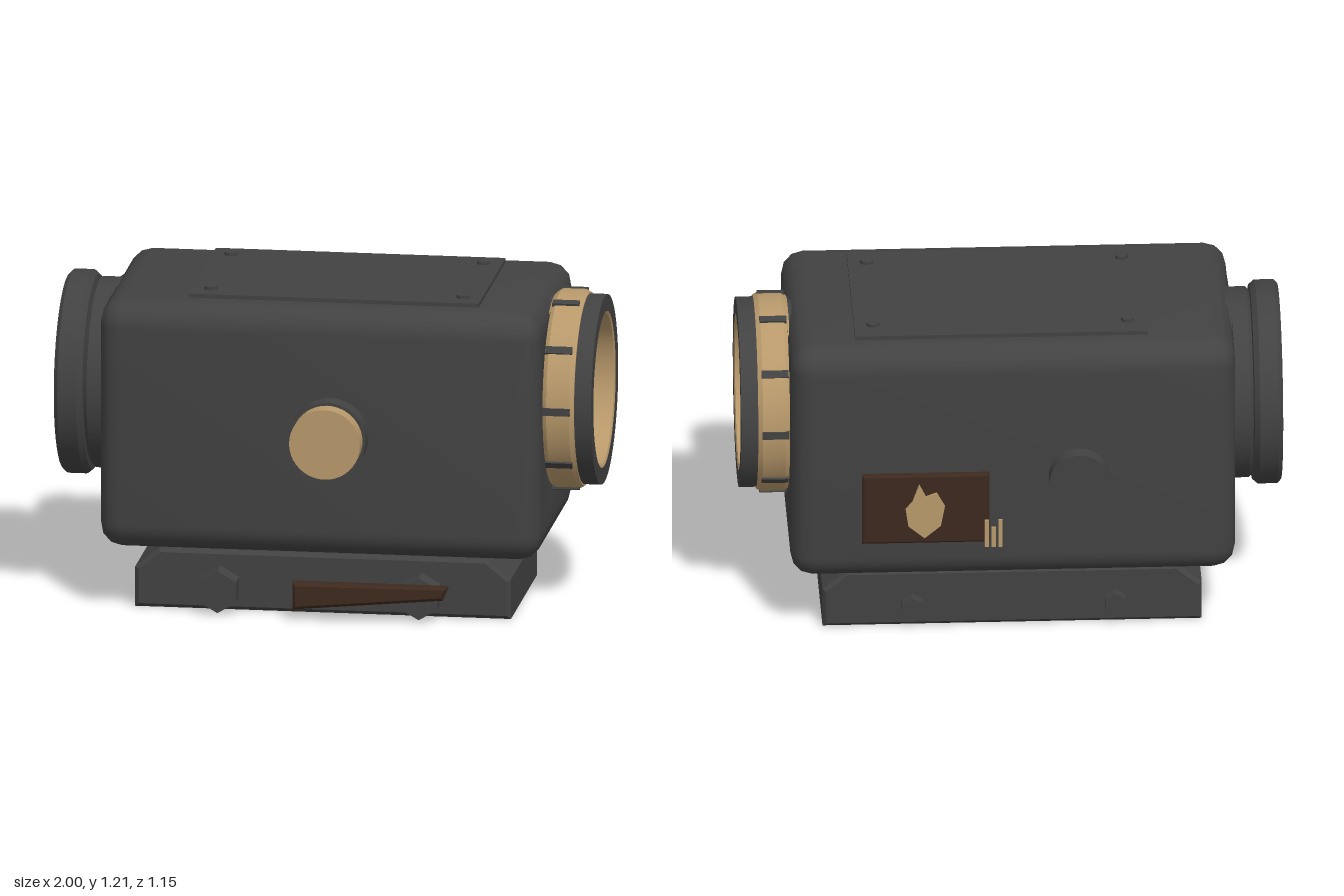
import * as THREE from 'three';
import { toCreasedNormals } from 'three/addons/utils/BufferGeometryUtils.js';

const CY = 0.8, CZ = -0.042; // optical axis

export function createModel() {
  const model = new THREE.Group();
  const material = (name, color, side = THREE.FrontSide) => {
    const m = new THREE.MeshStandardMaterial({ color, side });
    m.name = name;
    return m;
  };
  const dark = material('charcoal', 0x424242);
  const gold = material('brass', 0xb8996b);
  const brown = material('dark brown', 0x3d291e, THREE.DoubleSide);
  const orange = material('reticle orange', 0xcc5c2c);

  const add = (name, geometry, mat, x = 0, y = 0, z = 0) => {
    const mesh = new THREE.Mesh(geometry, mat);
    mesh.name = name;
    mesh.position.set(x, y, z);
    model.add(mesh);
    return mesh;
  };
  const box = (name, mat, x0, x1, y0, y1, z0, z1) =>
    add(name, new THREE.BoxGeometry(x1 - x0, y1 - y0, z1 - z0), mat, (x0 + x1) / 2, (y0 + y1) / 2, (z0 + z1) / 2);
  // Turned part along the optical axis; points are [radius, x]
  const turned = (name, points, mat) => {
    const g = new THREE.LatheGeometry(points.map(([r, x]) => new THREE.Vector2(r, x)), 48);
    g.rotateZ(-Math.PI / 2);
    return add(name, toCreasedNormals(g, 0.5), mat, 0, CY, CZ);
  };
  // Cylinder along z
  const disc = (name, mat, r, x, y, z0, z1, sides = 40) => {
    const g = new THREE.CylinderGeometry(r, r, z1 - z0, sides);
    g.rotateX(Math.PI / 2);
    return add(name, toCreasedNormals(g, 0.5), mat, x, y, (z0 + z1) / 2);
  };
  // Outline in x and y, extruded from z0 to z1 with a bevel inside the outline
  const slab = (name, mat, points, z0, z1, bevel = 0) => {
    const shape = new THREE.Shape(points.map(([x, y]) => new THREE.Vector2(x, y)));
    const g = new THREE.ExtrudeGeometry(shape, {
      depth: z1 - z0 - 2 * bevel, bevelEnabled: bevel > 0, bevelSize: bevel,
      bevelThickness: bevel, bevelOffset: -bevel, bevelSegments: 1,
    });
    return add(name, g, mat, 0, 0, z0 + bevel);
  };

  // Housing: rounded box with a bore along x
  const h = 0.47, r = 0.1, b = 0.08;
  const outline = new THREE.Shape();
  [[1, -1], [1, 1], [-1, 1], [-1, -1]].forEach(([sx, sy], i) => {
    const start = (i - 1) * Math.PI / 2;
    outline.absarc(sx * (h - r), sy * (h - r), r, start, start + Math.PI / 2, false);
  });
  outline.holes.push(new THREE.Path().absarc(0, 0, 0.27, 0, Math.PI * 2, true));
  const housing = new THREE.ExtrudeGeometry(outline, {
    depth: 1.64 - 2 * b, bevelSize: b, bevelThickness: b, bevelOffset: -b, bevelSegments: 3, curveSegments: 6,
  });
  housing.translate(0, 0, b - 0.82);
  housing.rotateY(Math.PI / 2);
  // The bore sits above the middle of the housing
  const pos = housing.attributes.position;
  for (let i = 0; i < pos.count; i++) {
    if (Math.hypot(pos.getY(i), pos.getZ(i)) < 0.37) pos.setY(i, pos.getY(i) + CY - 0.71);
  }
  add('housing', toCreasedNormals(housing, 0.6), dark, 0, 0.71, CZ);

  // Bore lining
  turned('boreLining', [[0.275, 0.86], [0.26, 0.8], [0.26, -0.8], [0.27, -0.84]], brown);

  // Objective bell on the model's right end
  turned('objectiveBell', [
    [0.27, -0.8], [0.27, -0.94], [0.31, -0.94], [0.31, -1], [0.362, -1], [0.377, -0.985], [0.377, -0.915],
    [0.36, -0.895], [0.342, -0.892], [0.353, -0.88], [0.353, -0.8], [0.27, -0.8],
  ], dark);

  // Eyepiece on the model's left end
  turned('eyepieceRim', [[0.29, 1], [0.29, 0.8], [0.352, 0.8], [0.352, 1], [0.29, 1]], dark);
  turned('focusRing', [
    [0.34, 0.8], [0.358, 0.82], [0.368, 0.835], [0.368, 0.92], [0.358, 0.937], [0.34, 0.937],
  ], gold);
  turned('eyepieceLiner', [[0.291, 1.0], [0.28, 0.995], [0.275, 0.86]], gold);
  for (let i = 0; i < 10; i++) {
    const a = i * Math.PI / 5;
    const grip = add('focusRingGrip', new THREE.BoxGeometry(0.1, 0.03, 0.028), dark,
      0.873, CY + 0.36 * Math.sin(a), CZ + 0.36 * Math.cos(a));
    grip.rotation.x = Math.PI / 2 - a;
  }

  // Reticle: chevron and three shrinking bars
  for (const s of [-1, 1]) {
    const arm = add('reticleChevron', new THREE.BoxGeometry(0.008, 0.026, 0.19), orange, 0, 0.736, CZ + s * 0.066);
    arm.rotation.x = s * 0.75;
  }
  [[0.633, 0.07], [0.594, 0.052], [0.553, 0.034]].forEach(([y, w]) =>
    box('reticleBar', orange, -0.004, 0.004, y - 0.007, y + 0.007, CZ - w / 2, CZ + w / 2));

  // Top cover with corner screws
  box('topCover', dark, -0.5, 0.58, 1.175, 1.195, -0.4, 0.3);
  for (const x of [-0.43, 0.51]) for (const z of [-0.305, 0.215]) {
    add('coverScrew', new THREE.CylinderGeometry(0.024, 0.024, 0.02, 16), dark, x, 1.197, z);
  }

  // Adjustment knobs
  disc('frontKnobBase', dark, 0.143, 0.045, 0.707, 0.4, 0.503);
  disc('frontKnobCap', gold, 0.132, 0.045, 0.707, 0.5, 0.573);
  disc('rearKnob', dark, 0.11, -0.24, 0.663, -0.575, -0.49);

  // Rear plate with inlay and small ribs
  slab('rearPlate', brown, [[0.09, 0.405], [0.56, 0.405], [0.56, 0.685], [0.09, 0.685]], -0.535, -0.505, 0.008);
  slab('rearInlay', gold, [
    [0.33, 0.43], [0.39, 0.48], [0.4, 0.55], [0.375, 0.58], [0.35, 0.65], [0.325, 0.6],
    [0.285, 0.615], [0.255, 0.56], [0.27, 0.48],
  ], -0.543, -0.534);
  [0.05, 0.075, 0.1].forEach((x, i) =>
    box('rearRib', gold, x - 0.008, x + 0.008, 0.39, 0.5 - (i % 2) * 0.03, -0.545, -0.536));

  // Mounting base
  slab('mountBase', dark, [
    [-0.7, 0], [0.7, 0], [0.7, 0.15], [0.61, 0.225], [-0.61, 0.225], [-0.7, 0.15],
  ], -0.395, 0.31, 0.014);
  for (const x of [-0.38, 0.37]) {
    disc('mountBolt', dark, 0.08, x, 0.088, 0.3, 0.395, 6);
    disc('mountNut', dark, 0.044, x, 0.088, -0.437, -0.385, 6);
  }
  slab('mountLever', brown, [[-0.095, 0.042], [0.465, 0.095], [0.485, 0.145], [-0.095, 0.145]], 0.392, 0.445, 0.012);

  return model;
}
